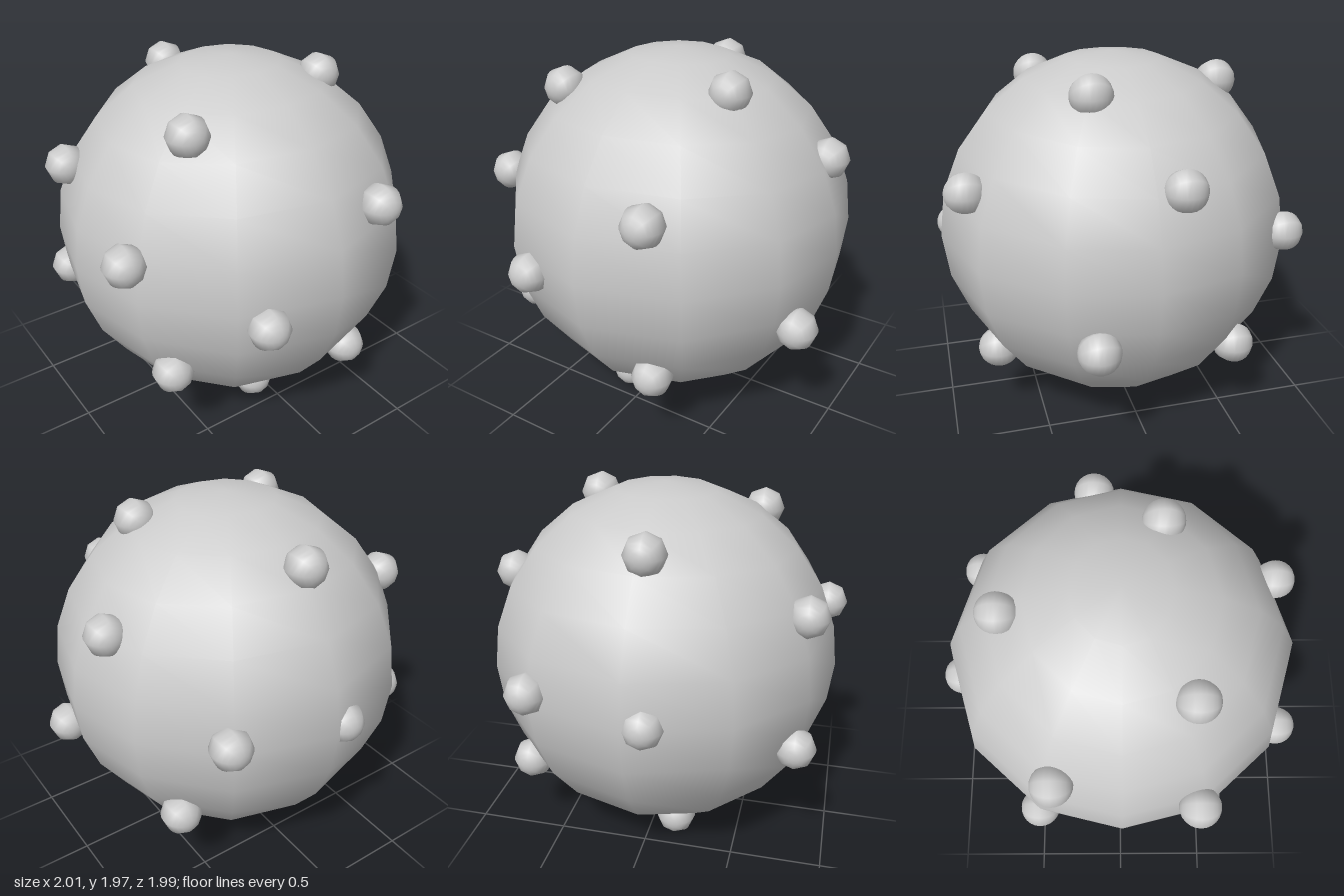
import * as THREE from 'three';

export function createModel() {
  const model = new THREE.Group();
  const material = new THREE.MeshStandardMaterial({ color: 0xcccccc });

  // Ball: a 12 x 12 sphere whose meridians are drawn a little toward the sides
  const ballGeometry = new THREE.SphereGeometry(1, 12, 12);
  const position = ballGeometry.attributes.position;
  const normal = ballGeometry.attributes.normal;
  const v = new THREE.Vector3();
  for (let i = 0; i < position.count; i++) {
    v.fromBufferAttribute(position, i);
    v.x *= 1.117;
    v.normalize();
    normal.setXYZ(i, v.x, v.y, v.z);
    position.setXYZ(i, v.x * 0.966, v.y * 0.973, v.z * 0.973);
  }
  const ball = new THREE.Mesh(ballGeometry, material);
  ball.name = 'ball';
  ball.position.set(-0.005, 1, 0.008);
  model.add(ball);

  // Bumps: small eight-sided spheres, poles along z, scattered over the ball
  const bumpGeometry = new THREE.SphereGeometry(0.111, 8, 12).rotateX(Math.PI / 2);
  const bumps = new THREE.Group();
  bumps.name = 'bumps';
  const centres = [
    // upper
    [-0.495, 1.765, 0.365], [0.42, 1.84, 0.22], [-0.045, 1.77, -0.60],
    [0.325, 1.36, 0.85], [0.815, 1.46, -0.14], [-0.82, 1.42, -0.345],
    // middle
    [-0.895, 1.215, 0.41], [-0.38, 0.915, 0.88], [0.53, 1.06, -0.80],
    [-0.10, 1.005, -0.89], [0.89, 0.685, 0.30], [-0.81, 0.72, -0.46],
    // lower
    [-0.70, 0.525, 0.49], [0.28, 0.42, 0.73], [0.645, 0.475, -0.505],
    [-0.10, 0.11, 0.38], [-0.155, 0.111, -0.36],
  ];
  centres.forEach((c, i) => {
    const bump = new THREE.Mesh(bumpGeometry, material);
    bump.name = `bump${i + 1}`;
    bump.position.set(...c);
    bumps.add(bump);
  });
  model.add(bumps);

  return model;
}
